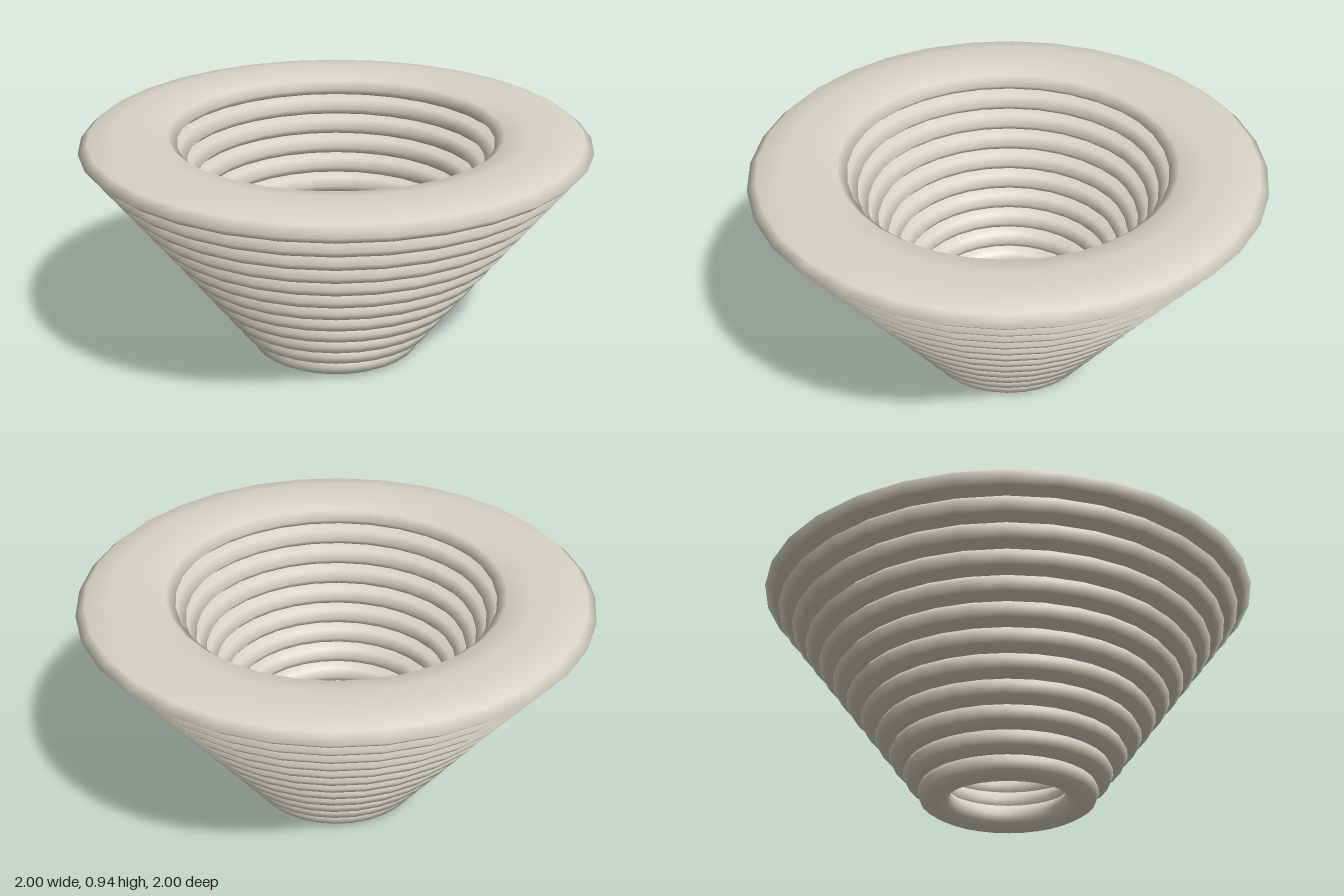
import * as THREE from 'three';

export function createModel() {
  const model = new THREE.Group();
  model.name = 'ribbedFunnel';

  const clay = new THREE.MeshStandardMaterial({ color: 0xd8d4c4 });
  clay.name = 'pale clay';

  const count = 12;
  const tubeHeight = 0.055; // vertical half-thickness, the same for every ring
  const lerp = THREE.MathUtils.lerp;

  // Stacked rings that widen evenly from the foot to the rim
  for (let i = 0; i < count; i++) {
    const t = i / (count - 1);
    const outer = lerp(0.356, 1, t);
    const inner = lerp(0.225, 0.622, t);
    const tube = (outer - inner) / 2;

    const geometry = new THREE.TorusGeometry((outer + inner) / 2, tube, 10, 32);
    geometry.rotateX(Math.PI / 2);
    geometry.scale(1, tubeHeight / tube, 1);

    const ring = new THREE.Mesh(geometry, clay);
    ring.name = i === 0 ? 'footRing' : i === count - 1 ? 'rimRing' : `wallRing${i}`;
    ring.position.y = lerp(0.0523, 0.885, t);
    model.add(ring);
  }

  return model;
}
